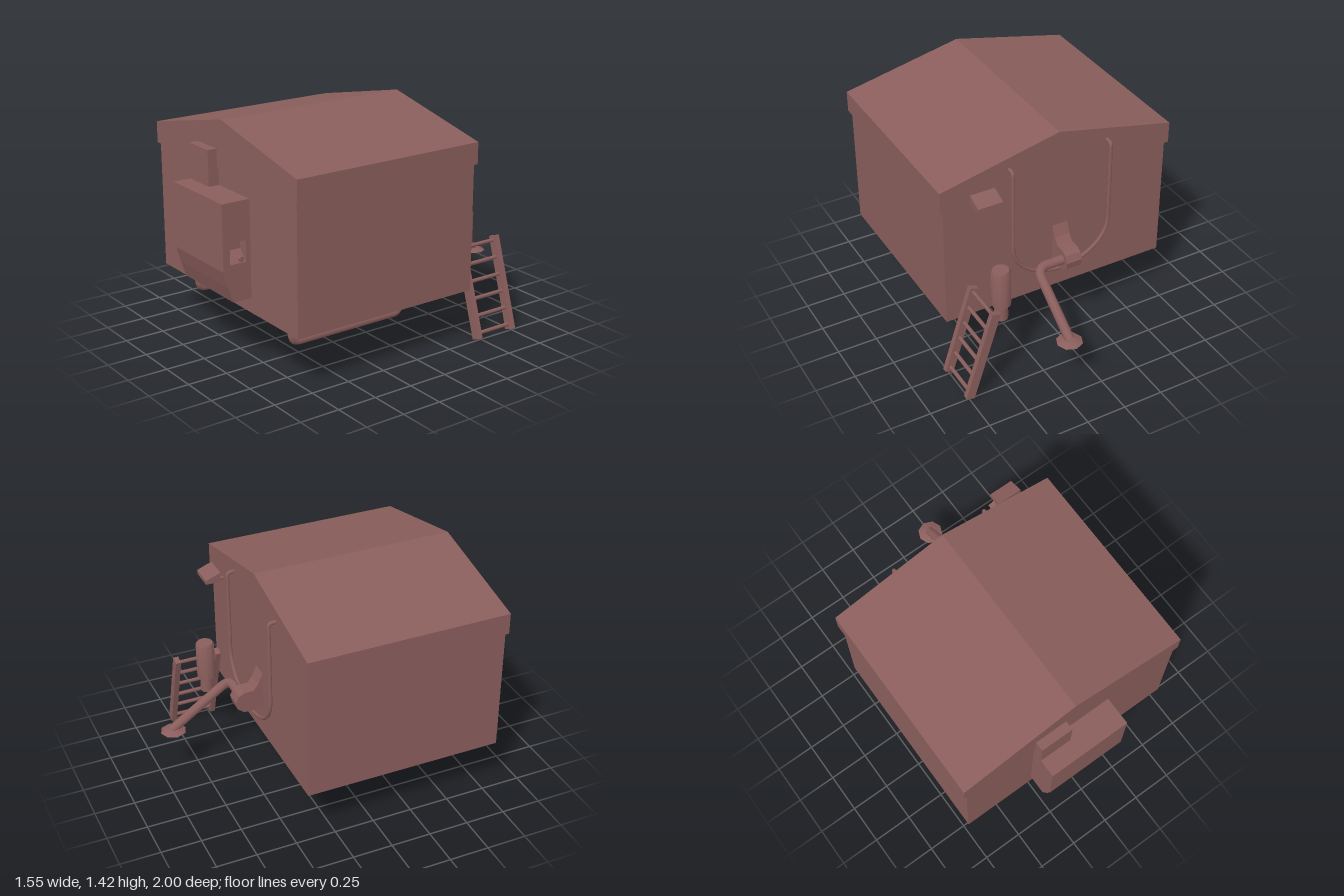
import * as THREE from 'three';
import { toCreasedNormals } from 'three/addons/utils/BufferGeometryUtils.js';

const material = new THREE.MeshStandardMaterial({ color: 0x8a5e5c, side: THREE.DoubleSide });

export function createModel() {
  const model = new THREE.Group();
  const add = (name, geometry, x = 0, y = 0, z = 0, parent = model) => {
    const mesh = new THREE.Mesh(geometry, material);
    mesh.name = name;
    mesh.position.set(x, y, z);
    parent.add(mesh);
    return mesh;
  };

  // Box given by its two corners
  const box = (name, x0, x1, y0, y1, z0, z1, parent) =>
    add(name, new THREE.BoxGeometry(x1 - x0, y1 - y0, z1 - z0),
      (x0 + x1) / 2, (y0 + y1) / 2, (z0 + z1) / 2, parent);

  // Extrude an [x, y] outline along z
  const prismZ = (name, points, z0, z1) => {
    const shape = new THREE.Shape(points.map(p => new THREE.Vector2(...p)));
    return add(name, new THREE.ExtrudeGeometry(shape, { depth: z1 - z0, bevelEnabled: false }), 0, 0, z0);
  };

  // Extrude a [z, y] outline along x, with an optional hole
  const prismX = (name, points, x0, x1, hole) => {
    const flip = list => list.map(([z, y]) => new THREE.Vector2(-z, y));
    const shape = new THREE.Shape(flip(points));
    if (hole) shape.holes.push(new THREE.Path(flip(hole)));
    const geometry = new THREE.ExtrudeGeometry(shape, { depth: x1 - x0, bevelEnabled: false });
    return add(name, geometry.rotateY(Math.PI / 2), x0);
  };

  // Tube through corner points with rounded bends
  const pipe = (name, corners, bend, radius, sides = 8) => {
    const pts = corners.map(c => new THREE.Vector3(...c));
    const path = new THREE.CurvePath();
    let from = pts[0];
    for (let i = 1; i < pts.length - 1; i++) {
      const toward = p => pts[i].clone().add(p.clone().sub(pts[i]).setLength(bend));
      const a = toward(pts[i - 1]), b = toward(pts[i + 1]);
      path.add(new THREE.LineCurve3(from, a));
      path.add(new THREE.QuadraticBezierCurve3(a, pts[i], b));
      from = b;
    }
    path.add(new THREE.LineCurve3(from, pts[pts.length - 1]));
    return add(name, new THREE.TubeGeometry(path, 80, radius, sides), 0, 0, 0);
  };

  // Turned part from a [radius, y] profile
  const turned = (name, profile, sides, x, z) => {
    const lathe = new THREE.LatheGeometry(profile.map(p => new THREE.Vector2(...p)), sides);
    return add(name, toCreasedNormals(lathe, 0.85), x, 0, z);
  };

  // Main cabin and gabled roof
  box('cabin', -0.755, 0.72, 0.335, 1.14, -0.425, 0.82);
  prismZ('roof', [[-0.777, 1.122], [0.74, 1.122], [0.74, 1.255], [-0.02, 1.422], [-0.777, 1.255]], -0.435, 0.83);

  // Front housing with a side pocket, and the duct above it
  const housing = [[0.81, 0.427], [0.94, 0.427], [0.972, 0.52], [1, 0.62], [1, 1.022], [0.81, 1.022]];
  const pocket = [[0.85, 0.655], [0.955, 0.655], [0.955, 0.785], [0.85, 0.785]];
  prismX('frontHousing', housing, -0.285, 0.19);
  prismX('frontHousingSide', housing, 0.19, 0.25, pocket);
  prismZ('pocketSlope', [[0.19, 0.655], [0.25, 0.655], [0.19, 0.72]], 0.85, 0.955);
  add('pocketKnob', new THREE.CylinderGeometry(0.016, 0.016, 0.05, 10).rotateZ(Math.PI / 2), 0.225, 0.675, 0.878);
  box('frontDuct', -0.285, -0.075, 1.0, 1.24, 0.81, 0.888);

  // Drum and open outlet under the floor
  turned('drum', [[0, 0.185], [0.355, 0.185], [0.378, 0.195], [0.385, 0.22], [0.385, 0.34]], 14, -0.02, 0.265);
  add('drumOutlet', new THREE.CylinderGeometry(0.11, 0.11, 0.1, 16, 1, true), -0.02, 0.14, 0.265);

  // Skid rails
  for (const x of [-0.537, 0.498])
    pipe('skidRail', [[x, 0.36, 0.712], [x, 0.213, 0.712], [x, 0.213, -0.058], [x, 0.36, -0.058]], 0.05, 0.025);

  // Leaning ladder
  const ladder = new THREE.Group();
  ladder.name = 'ladder';
  ladder.position.set(0.657, 0.293, -0.611);
  ladder.rotation.z = 0.31;
  model.add(ladder);
  for (const side of [-1, 1])
    add('ladderRail', new THREE.BoxGeometry(0.055, 0.587, 0.034), 0, 0, side * 0.134, ladder);
  for (let i = 0; i < 6; i++)
    add('ladderRung', new THREE.CylinderGeometry(0.012, 0.012, 0.26, 8).rotateX(Math.PI / 2),
      0, -0.262 + i * 0.106, 0, ladder);

  // Small canister with a lower stem
  turned('canister', [[0, 0.49], [0.06, 0.49], [0.06, 0.718], [0.05, 0.735], [0, 0.735]], 10, 0.45, -0.595);
  add('canisterStem', new THREE.CylinderGeometry(0.042, 0.042, 0.11, 10), 0.45, 0.442, -0.595);

  // Looped hose on the back wall
  const hose = new THREE.CurvePath();
  const hoseX = -0.018, reach = 0.322, hoseZ = -0.479;
  const points = [];
  for (const y of [0.95, 0.85]) points.push(new THREE.Vector3(hoseX + reach, y, hoseZ));
  for (let i = 0; i <= 16; i++) {
    const a = Math.PI * i / 16;
    points.push(new THREE.Vector3(hoseX + reach * Math.cos(a), 0.75 - 0.25 * Math.sin(a), hoseZ));
  }
  for (const y of [0.85, 0.95]) points.push(new THREE.Vector3(hoseX - reach, y, hoseZ));
  hose.add(new THREE.CatmullRomCurve3(points));
  add('hoseLoop', new THREE.TubeGeometry(hose, 64, 0.012, 8));
  for (const s of [-1, 1]) {
    const x = hoseX + s * reach;
    pipe('hoseEnd', [[x, 0.95, hoseZ], [x, 1.276, hoseZ], [x, 1.276, -0.425]], 0.025, 0.012);
  }

  // Back spout housing, drain pipe and foot
  prismX('spoutHousing', [[-0.42, 0.79], [-0.455, 0.71], [-0.485, 0.67], [-0.545, 0.67], [-0.58, 0.652],
    [-0.6, 0.61], [-0.59, 0.565], [-0.55, 0.535], [-0.42, 0.53]], -0.09, 0.01);
  pipe('drainPipe', [[-0.02, 0.605, -0.54], [0.18, 0.605, -0.54], [0.18, 0.342, -0.925]], 0.07, 0.03, 10);
  add('drainFoot', new THREE.CylinderGeometry(0.035, 0.08, 0.018, 8), 0.18, 0.341, -0.918);

  // Hooded lamp on a bracket
  prismX('lampHood', [[-0.48, 1.218], [-0.575, 1.18], [-0.575, 1.155], [-0.563, 1.155], [-0.563, 1.172],
    [-0.492, 1.2], [-0.492, 1.155], [-0.48, 1.155]], 0.42, 0.575);
  for (const x of [0.42, 0.563])
    prismX('lampCheek', [[-0.48, 1.218], [-0.575, 1.18], [-0.575, 1.155], [-0.48, 1.155]], x, x + 0.012);
  pipe('lampBracket', [[0.498, 1.135, -0.42], [0.498, 1.135, -0.484], [0.498, 1.19, -0.484]], 0.02, 0.01);

  return model;
}
